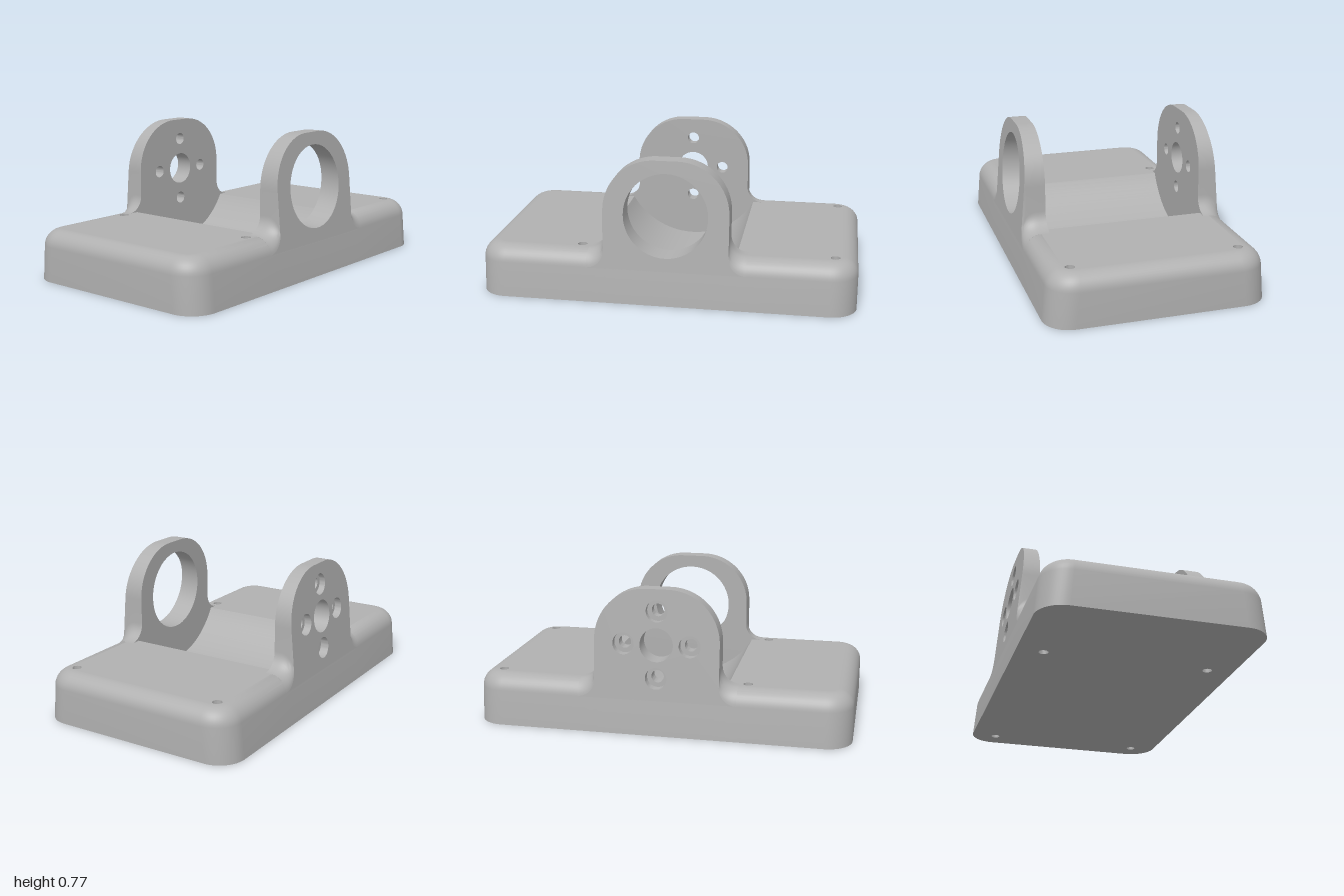
import * as THREE from 'three';
import { toCreasedNormals } from 'three/addons/utils/BufferGeometryUtils.js';

const V2 = (x, y) => new THREE.Vector2(x, y);
const V3 = (x, y, z) => new THREE.Vector3(x, y, z);

// Main dimensions
const TOP = 0.272, R = 0.085;                  // base height and edge round
const CX = 0.01, CY = 0.48;                    // bore axis
const TROUGH = 0.42, FRONT = 0.42, BACK = 0.435;
const outer = y => 0.575 - 0.0876 * y;         // tapered front and back faces
const zTop = outer(TOP) - R;

export function createModel() {
  const model = new THREE.Group();
  const grey = new THREE.MeshStandardMaterial({ color: 0xb0b0b0, side: THREE.DoubleSide });
  grey.name = 'grey';

  const add = (parent, name, geometry) => {
    const mesh = new THREE.Mesh(geometry, grey);
    mesh.name = name;
    parent.add(mesh);
  };

  // Skin between successive rings of points
  const loft = (rings, closed = true) => {
    const n = rings[0].length, index = [];
    for (let i = 0; i < rings.length - 1; i++) {
      for (let j = 0; j < (closed ? n : n - 1); j++) {
        const a = i * n + j, b = i * n + (j + 1) % n;
        index.push(a, b, a + n, b, b + n, a + n);
      }
    }
    const g = new THREE.BufferGeometry().setFromPoints(rings.flat());
    g.setIndex(index);
    return toCreasedNormals(g, 0.6);
  };

  // Filled outline with holes, placed in space by a rule
  const face = (outline, holes, place) => {
    const shape = new THREE.Shape(outline);
    shape.holes = holes.map(h => new THREE.Path(h));
    const g = new THREE.ShapeGeometry(shape);
    const p = g.attributes.position;
    for (let i = 0; i < p.count; i++) {
      const v = place(V2(p.getX(i), p.getY(i)));
      p.setXYZ(i, v.x, v.y, v.z);
    }
    g.computeVertexNormals();
    return g;
  };

  const arc = (x, y, r, a0, a1, n = 12) => Array.from({ length: n + 1 }, (_, i) => {
    const a = a0 + (a1 - a0) * i / n;
    return V2(x + r * Math.cos(a), y + r * Math.sin(a));
  });
  const circle = (x, y, r, n = 48) => arc(x, y, r, 0, Math.PI * 2, n).slice(0, n);
  const H = Math.PI / 2;

  // ---- Base: rounded block with a rounded top edge
  const base = new THREE.Group();
  base.name = 'base';
  model.add(base);
  const xs = [-0.36, -0.3, 0.32, 0.38];
  const roundedRect = (hx, hz, r) => [
    ...arc(hx - r, hz - r, r, 0, H),
    ...[...xs].reverse().map(x => V2(x, hz)),
    ...arc(r - hx, hz - r, r, H, 2 * H),
    ...arc(r - hx, r - hz, r, 2 * H, 3 * H),
    ...xs.map(x => V2(x, -hz)),
    ...arc(hx - r, r - hz, r, 3 * H, 4 * H),
  ];
  const ringAt = (y, inset) => roundedRect(1 - inset, outer(y) - inset, 0.14 - inset)
    // the edge dips beneath the lugs to stay clear of the bore
    .map(p => V3(p.x, Math.abs(p.x - CX) < 0.32 ? Math.min(y, 0.24) : y, p.y));
  const rings = [ringAt(0, 0)];
  for (let i = 0; i <= 10; i++) {
    const a = H * i / 10;
    rings.push(ringAt(TOP - R + R * Math.sin(a), R * (1 - Math.cos(a))));
  }
  add(base, 'baseSides', loft(rings));

  const mounts = [];
  for (const x of [-0.455, 0.88]) for (const z of [-0.435, 0.435]) mounts.push(circle(x, z, 0.025, 24));
  const half = Math.sqrt(TROUGH ** 2 - (CY - TOP) ** 2);
  const zCut = zTop - 0.0005;
  const opening = [V2(CX - half, -zCut), V2(CX + half, -zCut), V2(CX + half, zCut), V2(CX - half, zCut)];
  add(base, 'baseTop', face(roundedRect(1 - R, zTop, 0.14 - R), [opening, ...mounts], p => V3(p.x, TOP, p.y)));
  add(base, 'baseBottom', face(roundedRect(1, outer(0), 0.14), mounts, p => V3(p.x, 0, p.y)));
  for (const m of mounts) {
    add(base, 'mountingHole', loft([0, TOP].map(y => m.map(p => V3(p.x, y, p.y)))));
  }

  // ---- Trough: cylindrical hollow between the lugs
  const edge = Math.asin((CY - TOP) / TROUGH);
  const hollow = arc(CX, CY, TROUGH, -Math.PI + edge, -edge, 40);
  add(base, 'trough', loft([-BACK, FRONT].map(z => hollow.map(p => V3(p.x, p.y, z))), false));
  const FLOOR = TOP - R - 0.002;
  const low = Math.asin((CY - FLOOR) / TROUGH);
  for (const z of [-BACK, FRONT]) {
    add(base, 'troughEnd', face(arc(CX, CY, TROUGH, -Math.PI + low, -low, 40), [], p => V3(p.x, p.y, z)));
  }

  // ---- Lugs: round-shouldered plates whose root fillets follow the base edge
  const W = 0.33, F = 0.09, S = 0.27, LUGTOP = 0.768;
  const lugOutline = drop => {
    const y = TOP - drop + F;
    return [
      V2(CX - W - F, FLOOR), V2(CX + W + F, FLOOR),
      ...arc(CX + W + F, y, F, 3 * H, 2 * H, 10),
      ...arc(CX + W - S, LUGTOP - S, S, 0, H, 18),
      ...arc(CX - W + S, LUGTOP - S, S, H, 2 * H, 18),
      ...arc(CX - W - F, y, F, 0, -H, 10),
    ];
  };
  // t runs from 0 on the inner face to 1 on the tapered outer face
  const makeLug = (name, side, inner, holes) => {
    const lug = new THREE.Group();
    lug.name = name;
    model.add(lug);
    const place = t => p => V3(p.x, p.y, side * (inner + t * (outer(p.y) - inner)));
    const dropAt = t => {
      const d = Math.max(0, R - (1 - t) * (outer(TOP - R) - inner));
      return R - Math.sqrt(R * R - d * d);
    };
    const layers = Array.from({ length: 13 }, (_, i) => 1 - (1 - i / 12) ** 2);
    add(lug, name + 'Rim', loft(layers.map(t => lugOutline(dropAt(t)).map(place(t)))));
    // each hole is a list of [t, radius] steps
    for (const t of [0, 1]) {
      const cuts = holes.map(h => circle(h.x, h.y, h.steps.find(s => s[0] === t)[1]));
      add(lug, name + (t ? 'OuterFace' : 'InnerFace'), face(lugOutline(dropAt(t)), cuts, place(t)));
    }
    for (const h of holes) {
      add(lug, h.name, loft(h.steps.map(([t, r]) => circle(h.x, h.y, r).map(place(t)))));
    }
  };

  makeLug('frontLug', 1, FRONT, [{ name: 'bearingBore', x: CX, y: CY, steps: [[0, 0.222], [1, 0.222]] }]);

  const backHoles = [{ name: 'shaftBore', x: CX, y: CY, steps: [[0, 0.088], [1, 0.088]] }];
  for (let i = 0; i < 4; i++) {
    backHoles.push({
      name: 'counterboredHole',
      x: CX + 0.175 * Math.cos(i * H),
      y: CY + 0.175 * Math.sin(i * H),
      steps: [[0, 0.033], [0.6, 0.033], [0.6, 0.057], [1, 0.057]],
    });
  }
  makeLug('backLug', -1, BACK, backHoles);

  return model;
}
